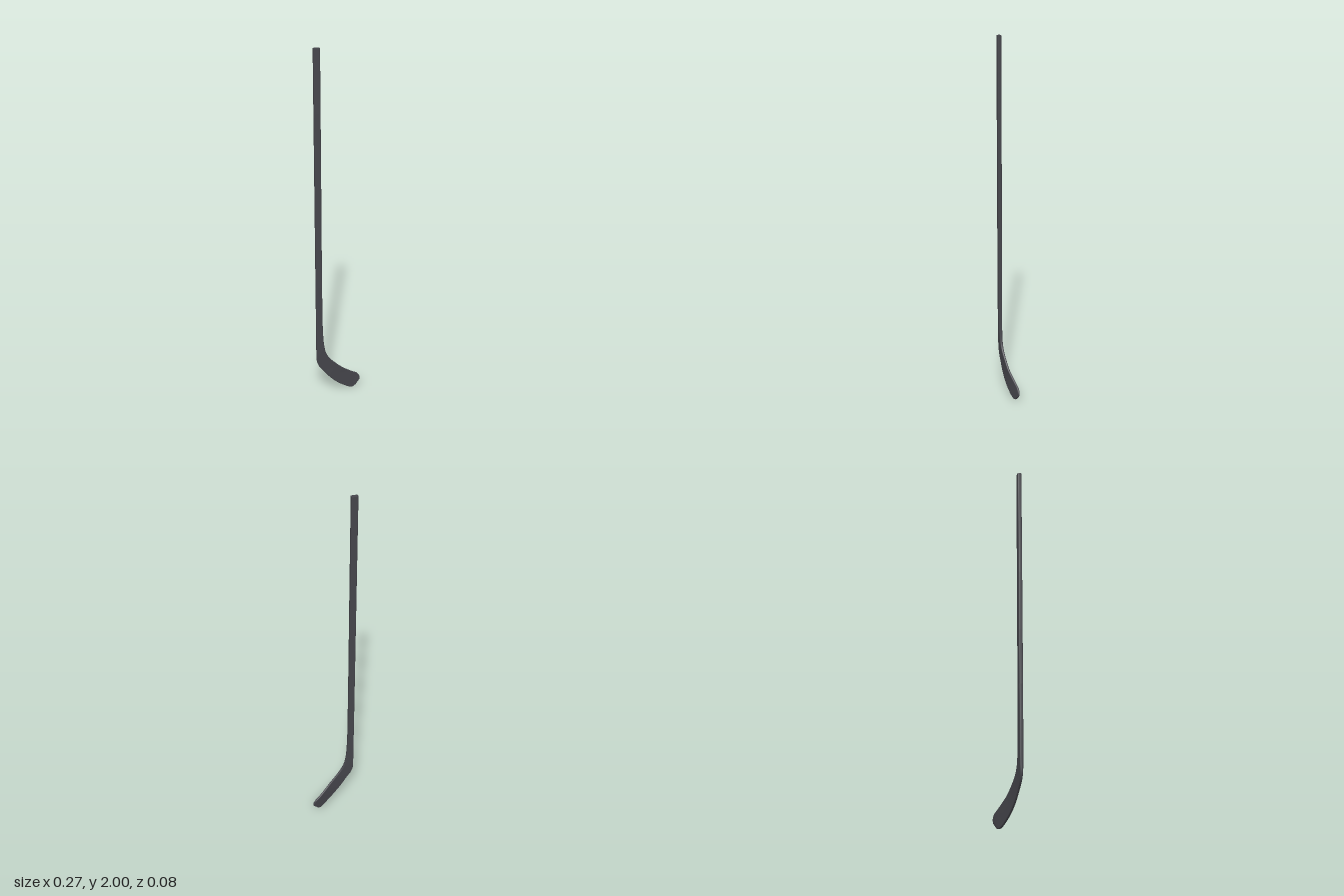
import * as THREE from 'three';

// Stations from butt to toe:
// heel edge x, y, z | top edge x, y, z | thickness, corner roundness
const STATIONS = [
  [-0.135, 2.0, 0.027, -0.1, 2.0, 0.027, 0.022, 0.28],
  [-0.135, 1.35, 0.027, -0.1, 1.35, 0.027, 0.022, 0.28],
  [-0.135, 0.7, 0.027, -0.1, 0.7, 0.027, 0.022, 0.28],
  [-0.135, 0.42, 0.027, -0.097, 0.42, 0.027, 0.02, 0.3],
  [-0.135, 0.29, 0.027, -0.09, 0.325, 0.026, 0.018, 0.35],
  [-0.134, 0.235, 0.027, -0.077, 0.27, 0.024, 0.016, 0.4],
  [-0.122, 0.197, 0.027, -0.055, 0.232, 0.02, 0.014, 0.45],
  [-0.093, 0.157, 0.025, -0.02, 0.193, 0.012, 0.012, 0.45],
  [-0.055, 0.107, 0.02, 0.02, 0.154, 0.002, 0.012, 0.45],
  [-0.01, 0.062, 0.012, 0.055, 0.124, -0.012, 0.012, 0.45],
  [0.035, 0.027, 0.0, 0.09, 0.097, -0.026, 0.012, 0.45],
  [0.062, 0.008, -0.01, 0.116, 0.079, -0.034, 0.012, 0.45],
  [0.083, 0.001, -0.018, 0.129, 0.058, -0.035, 0.012, 0.45],
  [0.1, 0.007, -0.023, 0.129, 0.04, -0.033, 0.01, 0.45],
];
const LAST = STATIONS.length - 1;
const curveOf = (k) => new THREE.CatmullRomCurve3(
  STATIONS.map((s) => new THREE.Vector3(s[k], s[k + 1], s[k + 2])));
const heelEdge = curveOf(0);
const topEdge = curveOf(3);

// Rounded rectangle, counter-clockwise
function roundedProfile(width, thick, r, steps = 4) {
  const pts = [];
  [[1, 1], [-1, 1], [-1, -1], [1, -1]].forEach(([sx, sy], c) => {
    for (let i = 0; i <= steps; i++) {
      const a = (c + i / steps) * Math.PI / 2;
      pts.push([sx * (width / 2 - r) + r * Math.cos(a), sy * (thick / 2 - r) + r * Math.sin(a)]);
    }
  });
  return pts;
}

const midAt = (u) => heelEdge.getPoint(u).add(topEdge.getPoint(u)).multiplyScalar(0.5);

// Ring of points across the stick at station number s
function ringAt(s) {
  const u = s / LAST;
  const i = Math.min(Math.floor(s), LAST - 1);
  const mix = (k) => THREE.MathUtils.lerp(STATIONS[i][k], STATIONS[i + 1][k], s - i);
  const across = topEdge.getPoint(u).sub(heelEdge.getPoint(u));
  const width = across.length();
  across.normalize();
  const along = midAt(Math.min(1, u + 0.004)).sub(midAt(Math.max(0, u - 0.004)));
  const normal = along.cross(across).normalize();
  const mid = midAt(u);
  return roundedProfile(width, mix(6), mix(6) * mix(7)).map(([a, b]) =>
    mid.clone().addScaledVector(across, a).addScaledVector(normal, b));
}

// Skin between two stations, with optional flat end caps
function loft(from, to, perStation, capStart, capEnd) {
  const pos = [];
  const idx = [];
  const rows = (to - from) * perStation;
  const rings = [];
  for (let i = 0; i <= rows; i++) rings.push(ringAt(from + i / perStation));
  const n = rings[0].length;
  rings.forEach((ring) => ring.forEach((p) => pos.push(p.x, p.y, p.z)));
  for (let i = 0; i < rows; i++) {
    for (let j = 0; j < n; j++) {
      const a = i * n + j;
      const b = i * n + (j + 1) % n;
      idx.push(a, b, a + n, b, b + n, a + n);
    }
  }
  const cap = (ring, flip) => {
    const base = pos.length / 3;
    const mid = new THREE.Vector3();
    ring.forEach((p) => { pos.push(p.x, p.y, p.z); mid.addScaledVector(p, 1 / n); });
    pos.push(mid.x, mid.y, mid.z);
    for (let j = 0; j < n; j++) {
      const a = base + j;
      const b = base + (j + 1) % n;
      idx.push(base + n, flip ? b : a, flip ? a : b);
    }
  };
  if (capStart) cap(rings[0], true);
  if (capEnd) cap(rings[rows], false);
  const geo = new THREE.BufferGeometry();
  geo.setAttribute('position', new THREE.Float32BufferAttribute(pos, 3));
  geo.setIndex(idx);
  geo.computeVertexNormals();
  return geo;
}

export function createModel() {
  const group = new THREE.Group();
  group.name = 'hockeyStick';
  const material = new THREE.MeshStandardMaterial({ color: 0x45454b });

  // Straight shaft with a flat butt end
  const shaft = new THREE.Mesh(loft(0, 2, 2, true, false), material);
  shaft.name = 'shaft';

  // Flared neck running into the curved blade
  const blade = new THREE.Mesh(loft(2, LAST, 6, false, true), material);
  blade.name = 'blade';

  group.add(shaft, blade);
  return group;
}
